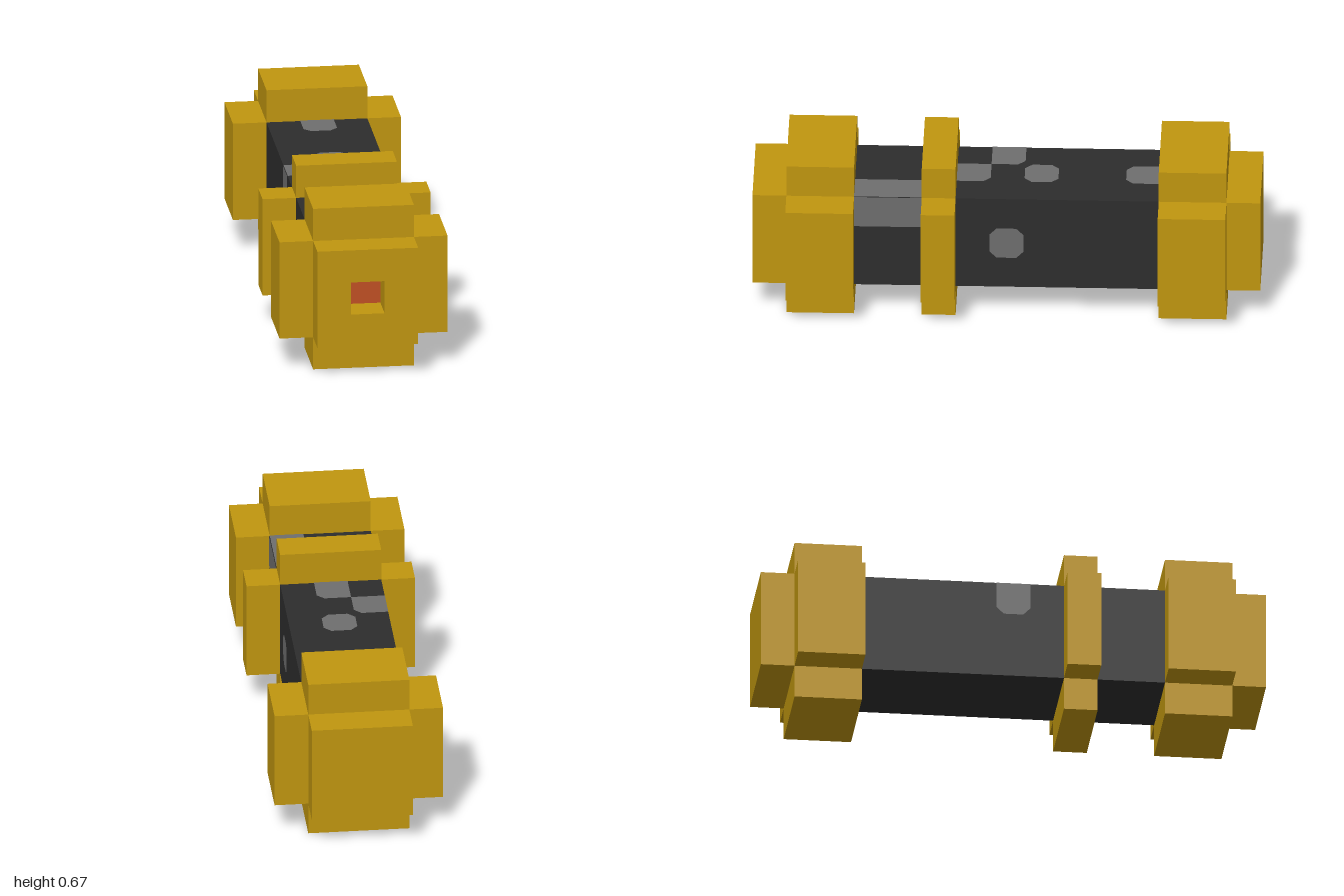
import * as THREE from 'three';

const U = 1 / 15; // block unit
const CY = 5 * U; // height of the long axis

export function createModel() {
  const model = new THREE.Group();
  model.name = 'blockCylinderDevice';

  const material = (name, color) => {
    const m = new THREE.MeshStandardMaterial({ color });
    m.name = name;
    return m;
  };
  const gold = material('gold', 0xc0960f);
  const charcoal = material('charcoal', 0x2d2d2d);
  const grey = material('grey', 0x6e6e6e);
  const red = material('rustRed', 0xc05024);

  const add = (name, geometry, mat, x, y, z) => {
    const mesh = new THREE.Mesh(geometry, mat);
    mesh.name = name;
    mesh.position.set(x, y, z);
    model.add(mesh);
    return mesh;
  };
  const box = (name, w, h, d, mat, z) =>
    add(name, new THREE.BoxGeometry(w * U, h * U, d * U), mat, 0, CY, z * U);
  const polygon = (points) =>
    new THREE.Shape(points.map(([x, y]) => new THREE.Vector2(x * U, y * U)));

  // Dark square barrel
  box('barrel', 6, 6, 18, charcoal, 0);

  // Plus-shaped collars, from z0 towards the front
  const plus = polygon([
    [-3, -5], [3, -5], [3, -3], [5, -3], [5, 3], [3, 3],
    [3, 5], [-3, 5], [-3, 3], [-5, 3], [-5, -3], [-3, -3],
  ]);
  const collar = (name, z0, depth) =>
    add(name, new THREE.ExtrudeGeometry(plus, { depth: depth * U, bevelEnabled: false }),
      gold, 0, CY, z0 * U);
  collar('backCollar', -13, 4);
  collar('middleCollar', 3, 2);
  collar('frontCollar', 9, 4);

  // End caps: the front one has a square socket
  box('backCap', 6, 6, 2, gold, -14);
  const face = polygon([[-3, -3], [3, -3], [3, 3], [-3, 3]]);
  face.holes.push(polygon([[-1, -1], [-1, 1], [1, 1], [1, -1]]));
  add('frontCap', new THREE.ExtrudeGeometry(face, { depth: 2 * U, bevelEnabled: false }),
    gold, 0, CY, 13 * U);
  add('socketFloor', new THREE.PlaneGeometry(2 * U, 2 * U), red, 0, CY, 13 * U + 0.002);

  // Flat patches; cut lists which corners are clipped, from lower left anticlockwise
  const patchShape = (w, h, cut) => {
    const corners = [[-w / 2, -h / 2], [w / 2, -h / 2], [w / 2, h / 2], [-w / 2, h / 2]];
    const points = [];
    corners.forEach(([x, y], i) => {
      if (!cut[i]) return points.push([x, y]);
      const c = 0.42;
      const inX = [x - Math.sign(x) * c, y];
      const inY = [x, y - Math.sign(y) * c];
      points.push(...(i % 2 ? [inX, inY] : [inY, inX]));
    });
    return new THREE.ShapeGeometry(polygon(points));
  };
  const lift = 3 * U + 0.002;
  const topPatch = (name, x, z, w, d, cut) =>
    add(name, patchShape(w, d, cut).rotateX(-Math.PI / 2), grey, x * U, CY + lift, z * U);
  const sidePatch = (name, side, y, z, w, cut) =>
    add(name, patchShape(w, 2, cut).rotateY(side * Math.PI / 2), grey,
      side * lift, CY + y * U, z * U);

  topPatch('topSpotBack', 0, -8, 2, 2, [1, 1, 0, 0]);
  topPatch('topSpotMiddle', 0, -2, 2, 2, [1, 1, 1, 1]);
  topPatch('topSpotFront', 0, 2, 2, 2, [0, 0, 1, 0]);
  topPatch('edgeSpotTop', -2, 0, 2, 2, [0, 0, 1, 0]);
  sidePatch('edgeSpotSide', -1, 2, 0, 2, [1, 1, 0, 0]);
  sidePatch('sideSpot', 1, 0, 0, 2, [1, 1, 1, 1]);
  topPatch('edgeStripTop', 2, 7, 2, 4, [0, 0, 0, 0]);
  sidePatch('edgeStripSide', 1, 2, 7, 4, [0, 0, 0, 0]);

  return model;
}
